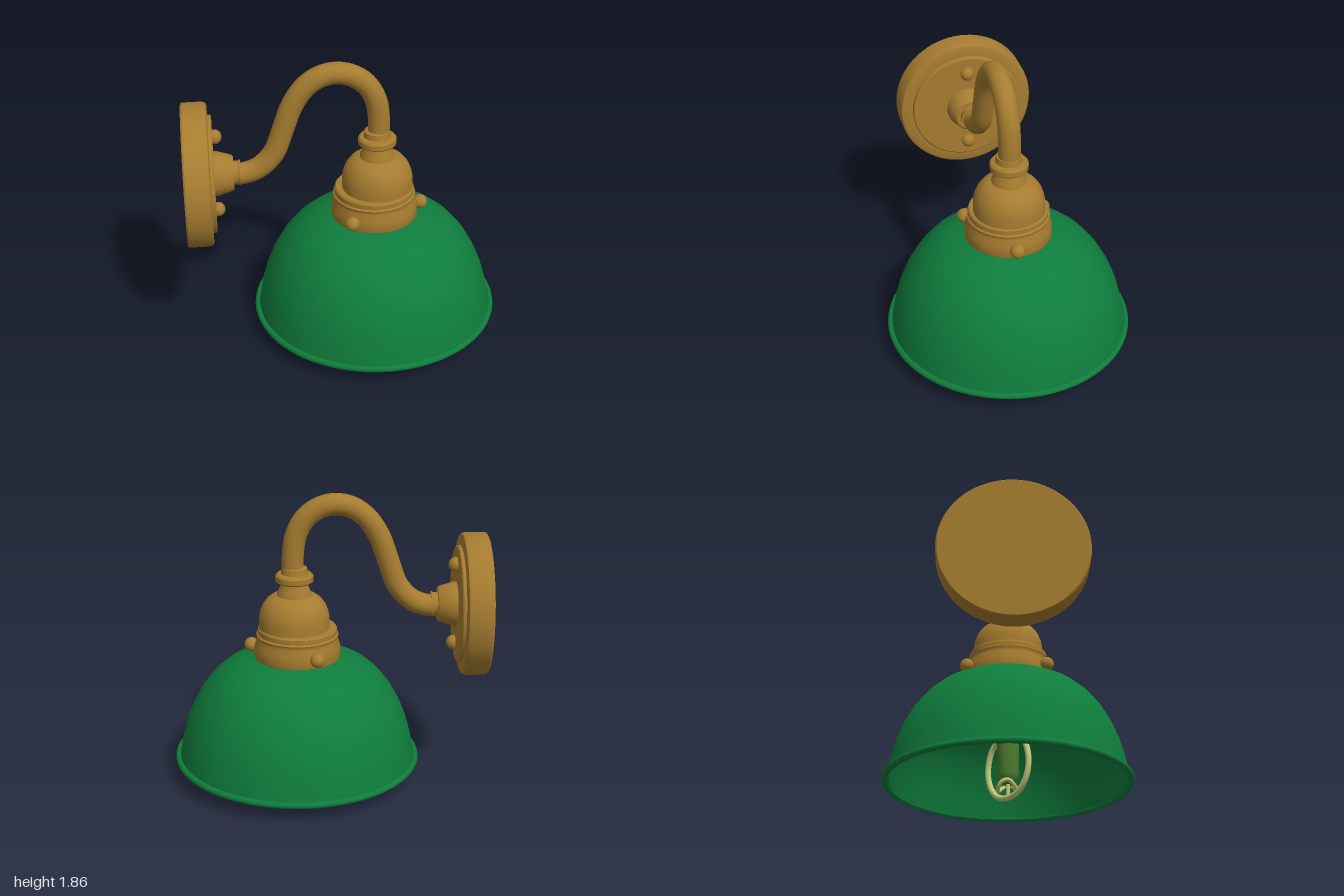
import * as THREE from 'three';
import { toCreasedNormals } from 'three/addons/utils/BufferGeometryUtils.js';

const mat = (name, color) => new THREE.MeshStandardMaterial({ name, color });

export function createModel() {
  const lamp = new THREE.Group();
  lamp.name = 'wallLamp';
  const brass = mat('brass', 0xa67c30);
  const green = mat('greenEnamel', 0x0f7d3c);
  const copper = mat('copper', 0xb0752f);
  const glass = mat('greenStem', 0x4f8030);
  const glow = mat('paleFilament', 0xc3d07c);

  const add = (parent, name, geometry, material, x = 0, y = 0, z = 0) => {
    const m = new THREE.Mesh(geometry, material);
    m.name = name;
    m.position.set(x, y, z);
    parent.add(m);
    return m;
  };
  // Turned part: [radius, height] pairs from bottom to top
  const lathe = (pts, seg = 64) => toCreasedNormals(
    new THREE.LatheGeometry(pts.map(([r, y]) => new THREE.Vector2(r, y)), seg), 0.6);
  const tube = (pts, r, closed = false, n = 80) => new THREE.TubeGeometry(
    new THREE.CatmullRomCurve3(pts.map(p => new THREE.Vector3(...p)), closed), n, r, 20, closed);

  // Wall plate, turned about the x axis
  const mount = new THREE.Group();
  mount.name = 'wallMount';
  mount.position.set(-1, 1.145, 0);
  mount.rotation.z = -Math.PI / 2;
  lamp.add(mount);
  add(mount, 'wallPlate', lathe([
    [0, 0], [0.445, 0], [0.453, 0.01], [0.453, 0.135], [0.445, 0.155], [0.43, 0.162],
    [0.372, 0.162], [0.37, 0.18], [0.362, 0.187], [0, 0.187],
  ], 72), brass);
  add(mount, 'armBoss', lathe([
    [0.14, 0.18], [0.14, 0.21], [0.132, 0.235], [0.113, 0.3], [0.104, 0.308],
    [0.075, 0.308], [0.075, 0.335], [0.08, 0.342], [0.08, 0.35], [0, 0.35],
  ], 40), brass);
  for (const s of [-1, 1]) {
    const screw = add(mount, 'plateScrew', new THREE.SphereGeometry(0.046, 24, 16), brass, s * 0.26, 0.2, 0);
    screw.scale.y = 0.95;
  }

  // Swan-neck arm
  add(lamp, 'arm', tube([
    [-0.69, 1.135, 0], [-0.62, 1.14, 0], [-0.53, 1.175, 0], [-0.44, 1.27, 0], [-0.375, 1.44, 0],
    [-0.32, 1.59, 0], [-0.24, 1.71, 0], [-0.15, 1.775, 0], [-0.05, 1.797, 0], [0.05, 1.775, 0],
    [0.14, 1.71, 0], [0.2, 1.6, 0], [0.22, 1.47, 0], [0.22, 1.3, 0],
  ], 0.069), brass);

  // Everything below the arm hangs with a very slight lean
  const head = new THREE.Group();
  head.name = 'lampHead';
  head.position.x = 0.205;
  head.rotation.z = 0.01;
  lamp.add(head);

  add(head, 'lampHolder', lathe([
    [0, 0.98], [0.225, 0.98], [0.225, 1.06], [0.218, 1.1], [0.2, 1.145], [0.172, 1.182],
    [0.14, 1.205], [0.11, 1.212], [0.107, 1.23], [0.092, 1.26], [0.085, 1.295], [0.112, 1.297],
    [0.12, 1.306], [0.12, 1.338], [0.11, 1.35], [0.085, 1.354], [0.08, 1.39], [0.07, 1.395], [0, 1.395],
  ]), brass).position.x = 0.02;
  add(head, 'shadeGallery', lathe([
    [0, 0.805], [0.275, 0.805], [0.277, 0.81], [0.273, 0.88], [0.257, 0.925], [0.256, 0.94],
    [0.262, 0.952], [0.252, 0.96], [0.252, 0.99], [0.244, 1.0], [0, 1.0],
  ]), brass);
  // Three thumbscrews round the gallery
  for (let i = 0; i < 3; i++) {
    const a = 0.08 + i * Math.PI * 2 / 3;
    const c = Math.cos(a), s = Math.sin(a);
    add(head, 'thumbScrew', new THREE.SphereGeometry(0.046, 24, 16), brass, 0.295 * c, 0.867, 0.295 * s);
    const shank = add(head, 'thumbScrewShank', new THREE.CylinderGeometry(0.03, 0.03, 0.06, 20),
      brass, 0.27 * c, 0.867, 0.27 * s);
    shank.rotation.set(0, -a, Math.PI / 2);
  }

  // Enamel shade: outer skin up, inner skin down
  const outer = [
    [0.765, 0.13], [0.756, 0.18], [0.738, 0.27], [0.71, 0.37], [0.67, 0.47], [0.615, 0.57],
    [0.545, 0.66], [0.465, 0.73], [0.38, 0.775], [0.3, 0.8], [0.25, 0.81],
  ];
  const inner = outer.map(([r, y]) => [r * 0.978, y - 0.015 * (y / 0.81)]).reverse();
  add(head, 'shade', lathe([...outer, ...inner, [0.765, 0.13]], 96), green);
  const rim = add(head, 'shadeRim', new THREE.TorusGeometry(0.773, 0.021, 14, 96), green, 0, 0.123, 0);
  rim.rotation.x = Math.PI / 2;

  // Bulb socket, stem and wire filament
  add(head, 'bulbSocket', lathe([[0, 0.44], [0.075, 0.44], [0.085, 0.46], [0.085, 0.8], [0, 0.8]], 32), copper);
  add(head, 'bulbStem', lathe([
    [0, 0.11], [0.04, 0.115], [0.06, 0.14], [0.068, 0.17], [0.07, 0.45], [0, 0.45],
  ], 32), glass);
  const filament = new THREE.Group();
  filament.name = 'filament';
  filament.rotation.y = Math.PI / 4;
  head.add(filament);
  add(filament, 'filamentLoop', tube([
    [-0.07, 0.43, 0], [-0.14, 0.37, 0], [-0.175, 0.25, 0], [-0.155, 0.13, 0], [-0.09, 0.05, 0],
    [0, 0.026, 0], [0.09, 0.05, 0], [0.155, 0.13, 0], [0.175, 0.25, 0], [0.14, 0.37, 0], [0.07, 0.43, 0],
  ], 0.019), glow);
  // Small curl under the stem
  const curl = [];
  for (let i = 0; i < 10; i++) {
    const a = i / 10 * Math.PI * 2;
    curl.push([0.055 * Math.cos(a), 0.095 + 0.03 * Math.sin(2 * a), 0.075 * Math.sin(a)]);
  }
  add(filament, 'filamentCurl', tube(curl, 0.013, true), glow);
  add(filament, 'filamentPost', new THREE.CylinderGeometry(0.014, 0.014, 0.1, 16), glow, 0, 0.08, 0);

  return lamp;
}
